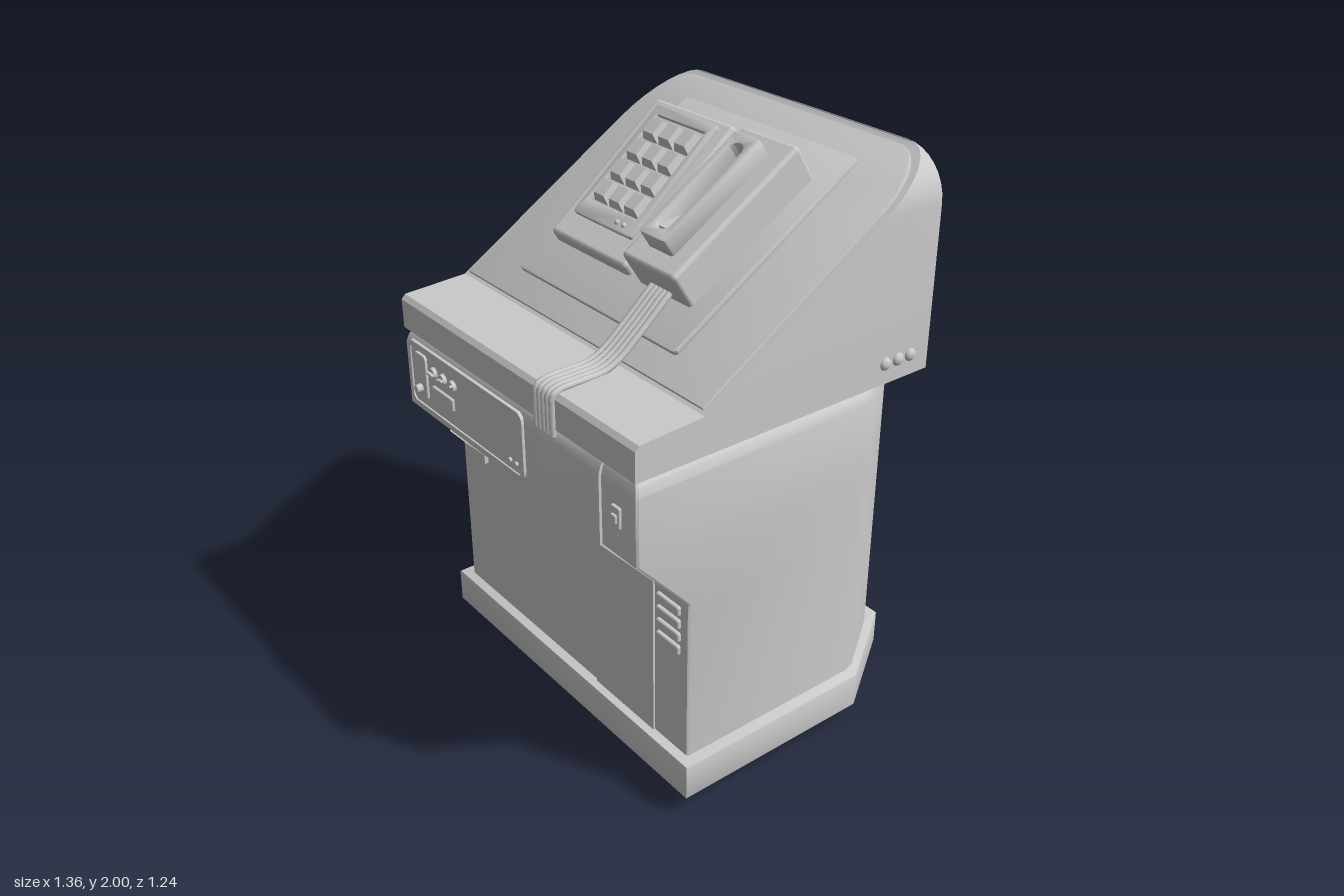
import * as THREE from 'three';
import { toCreasedNormals } from 'three/addons/utils/BufferGeometryUtils.js';
import { RoundedBoxGeometry } from 'three/addons/geometries/RoundedBoxGeometry.js';

const grey = new THREE.MeshStandardMaterial({ color: 0xcccccc });
const thin = new THREE.MeshStandardMaterial({ color: 0xcccccc, side: THREE.DoubleSide });

function add(parent, name, geo, x = 0, y = 0, z = 0, mat = grey) {
  const m = new THREE.Mesh(geo, mat);
  m.name = name;
  m.position.set(x, y, z);
  parent.add(m);
  return m;
}
const rbox = (w, h, d, r = 0.01) => new RoundedBoxGeometry(w, h, d, 2, r);

// Box whose +z face is scaled by s
function frustum(w, h, d, s) {
  const g = new THREE.BoxGeometry(w, h, d), p = g.attributes.position;
  for (let i = 0; i < p.count; i++)
    if (p.getZ(i) > 0) p.setXY(i, p.getX(i) * s, p.getY(i) * s);
  g.computeVertexNormals();
  return g;
}

// Skin over rings of equal length, plus extra quads
function loft(rings, closed = true, extra = [], crease = 0.6) {
  const pos = [];
  const quad = (a, b, c, d) => [a, b, c, a, c, d].forEach(p => pos.push(...p));
  for (let k = 0; k + 1 < rings.length; k++) {
    const a = rings[k], b = rings[k + 1], n = a.length;
    for (let i = 0; i < (closed ? n : n - 1); i++) {
      const j = (i + 1) % n;
      quad(a[i], a[j], b[j], b[i]);
    }
  }
  extra.forEach(q => quad(...q));
  const g = new THREE.BufferGeometry();
  g.setAttribute('position', new THREE.Float32BufferAttribute(pos, 3));
  g.computeVertexNormals();
  return toCreasedNormals(g, crease);
}

// Rounded rectangle centred on the origin
function roundRect(w, h, r, T = THREE.Shape) {
  const s = new T(), x = w / 2 - r, y = h / 2 - r;
  s.absarc(x, y, r, 0, Math.PI / 2).absarc(-x, y, r, Math.PI / 2, Math.PI);
  s.absarc(-x, -y, r, Math.PI, Math.PI * 1.5).absarc(x, -y, r, Math.PI * 1.5, Math.PI * 2);
  return s;
}
const plate = (shape, depth, bevel = 0.005) => toCreasedNormals(new THREE.ExtrudeGeometry(shape, {
  depth: depth - bevel, bevelEnabled: bevel > 0, bevelThickness: bevel, bevelSize: bevel,
  bevelOffset: -bevel, bevelSegments: 2, curveSegments: 8 }), 0.6);

function buildBase(root) {
  // Plinth with cut back corners and a shallow notch at the back
  const half = [[0.68, -0.43], [0.68, 0.31], [0.47, 0.62], [0.21, 0.62], [0.21, 0.608]];
  const pts = [...half, ...half.map(([x, y]) => [-x, y]).reverse()];
  const s = new THREE.Shape(pts.map(p => new THREE.Vector2(...p)));
  add(root, 'plinth', plate(s, 0.125, 0.006).rotateX(-Math.PI / 2), 0, 0.07, 0);
  // Tapered feet, the back pair turned along the cut corners
  for (const sx of [-1, 1]) for (const back of [false, true]) {
    const g = frustum(0.15, back ? 0.17 : 0.14, 0.08, 0.85).rotateX(Math.PI / 2);
    const f = add(root, back ? 'backFoot' : 'frontFoot', g, sx * (back ? 0.47 : 0.535), 0.04, back ? -0.4 : 0.29);
    if (back) f.rotation.y = sx * 0.6;
  }
}

function buildBody(root) {
  // Cabinet: y, front z, shoulder inset, depth of the back door recess
  const levels = [[0.19, 0.395, 0, 0.02], [0.75, 0.395, 0, 0.02], [0.75, 0.395, 0, 0], [0.78, 0.395, 0, 0],
    [0.99, 0.585, 0, 0], [1.22, 0.585, 0, 0], [1.25, 0.577, 0.01, 0], [1.27, 0.56, 0.032, 0], [1.28, 0.53, 0.06, 0]];
  const rings = levels.map(([y, zf, s, d]) => {
    const half = [[0.635 - s, zf], [0.64 - s, zf - 0.008], [0.64 - s, -0.3], [0.625 - s, -0.345],
      [0.48 - s * 0.6, -0.55 + s], [0.43, -0.58 + s], [0.22, -0.58 + s], [0.22, -0.58 + s + d]];
    return [...half, ...half.map(([x, z]) => [-x, z]).reverse()].map(([x, z]) => [x, y, z]);
  });
  const top = rings.at(-1), n = top.length, lid = [];
  for (let i = 0; i < n / 2 - 1; i++) lid.push([top[i], top[i + 1], top[n - 2 - i], top[n - 1 - i]]);
  add(root, 'cabinet', loft(rings, true, lid));
  add(root, 'neck', new THREE.BoxGeometry(1.06, 0.08, 0.13), 0, 1.26, -0.455);

  // Raised column that follows the front
  const prof = [[0.38, 0.19], [0.402, 0.19], [0.402, 0.778], [0.594, 0.99], [0.594, 1.225], [0.585, 1.255],
    [0.565, 1.274], [0.5, 1.274], [0.5, 1.0], [0.38, 0.82]].map(p => new THREE.Vector2(...p));
  add(root, 'frontColumn', plate(new THREE.Shape(prof), 0.31, 0).rotateY(-Math.PI / 2), 0.475, 0, 0);

  // Control panel
  const panel = new THREE.Group();
  panel.name = 'controlPanel';
  panel.position.z = 0.585;
  root.add(panel);
  const frame = roundRect(0.69, 0.236, 0.03);
  frame.holes.push(roundRect(0.664, 0.21, 0.022, THREE.Path));
  add(panel, 'panelFrame', plate(frame, 0.01, 0.003), -0.265, 1.128, 0);
  add(panel, 'panelFace', plate(roundRect(0.67, 0.216, 0.022), 0.004, 0), -0.265, 1.128, 0);
  add(panel, 'sliderPlate', plate(roundRect(0.07, 0.165, 0.015), 0.014), -0.53, 1.132, 0);
  const knob = (name, x, y, r, d) =>
    add(panel, name, new THREE.CylinderGeometry(r * 0.85, r, d, 20).rotateX(Math.PI / 2), x, y, d / 2);
  knob('sliderKnob', -0.53, 1.09, 0.016, 0.035);
  [-0.45, -0.39, -0.33].forEach((x, i) => {
    knob('dial', x, 1.173, 0.022, 0.016);
    add(panel, 'dialGrip', rbox(0.036, 0.009, 0.014, 0.003), x, 1.173, 0.02).rotation.z = [0, 0.2, 0.6][i];
  });
  add(panel, 'displayWindow', rbox(0.13, 0.045, 0.02, 0.005), -0.395, 1.102, 0.004);
  [0, 0.035].forEach(x => knob('indicator', x, 1.054, 0.009, 0.012));
  add(panel, 'switchPlate', rbox(0.04, 0.07, 0.016, 0.004), 0.55, 1.123, 0.002);
  add(panel, 'rockerSwitch', rbox(0.024, 0.03, 0.02, 0.004), 0.55, 1.12, 0.008);

  // Louvres and the small latch below the overhang
  for (let i = 0; i < 4; i++) add(root, 'louvre', rbox(0.11, 0.034, 0.03, 0.007), 0.548, 0.59 + i * 0.0485, 0.393);
  const latch = [[0.39, 0.75], [0.41, 0.75], [0.41, 0.785], [0.475, 0.855], [0.45, 0.855], [0.39, 0.79]];
  add(root, 'latch', plate(new THREE.Shape(latch.map(p => new THREE.Vector2(...p))), 0.118, 0)
    .rotateY(-Math.PI / 2), -0.474, 0, 0);
}

function buildHead(root) {
  const head = new THREE.Group();
  head.name = 'consoleHead';
  head.position.x = 0.025;
  root.add(head);
  const low = 1.285;
  // Arch outline from the lower +x corner over the top to the other side
  const arch = (w, top, r) => {
    const half = [[w, low], [w, 1.385], [w, 1.4], [w, 1.412]];
    for (let i = 0; i <= 8; i++) {
      const a = i * Math.PI / 16;
      half.push([w - r + r * Math.cos(a), top - r + r * Math.sin(a)]);
    }
    return [...half, ...half.map(([x, y]) => [-x, y]).reverse()];
  };
  const frontZ = y => y < 1.39 ? 0.602 : y < 1.405 ? 0.588 : Math.max(0.363 - (y - 1.41) / 0.632, -0.533);
  const outer = arch(0.633, 1.982, 0.155), inner = arch(0.413, 1.785, 0.1);
  const front = outer.map(([x, y]) => [x, y, frontZ(y)]), n = front.length, face = [];
  for (let i = 0; i < n / 2 - 1; i++) face.push([front[n - 1 - i], front[i], front[i + 1], front[n - 2 - i]]);
  add(head, 'headShell', loft([inner.map(p => [...p, -0.616]), outer.map(p => [...p, -0.535]), front], true, face, 0.45));

  // Back wall with a shallow access recess
  const u = [[-0.3, low], [-0.3, 1.41], [0.3, 1.41], [0.3, low]];
  const wall = new THREE.Shape([...inner, ...u].map(p => new THREE.Vector2(...p)));
  add(head, 'backWall', new THREE.ShapeGeometry(wall).rotateY(Math.PI), 0, 0, -0.616);
  add(head, 'recessWalls', loft([u.map(p => [...p, -0.616]), u.map(p => [...p, -0.585])], false), 0, 0, 0, thin);
  add(head, 'recessFloor', new THREE.BoxGeometry(0.6, 0.125, 0.01), 0, 1.3475, -0.581);

  // Round buttons on the side
  for (const z of [-0.348, -0.402, -0.455])
    add(head, 'sideButton', new THREE.SphereGeometry(0.021, 16, 12).scale(0.7, 1, 1), 0.633, 1.355, z);
}

function buildDeck(root) {
  // Sloping deck: local y runs up the slope, local z points outward
  const deck = new THREE.Group();
  deck.name = 'slopingDeck';
  deck.position.set(0, 1.41, 0.385);
  deck.rotation.x = -1.007;
  root.add(deck);

  const s = new THREE.Shape();
  s.moveTo(-0.615, 0.035).lineTo(0.615, 0.035).lineTo(0.615, 0.79);
  s.absellipse(0.475, 0.79, 0.14, 0.265, 0, Math.PI / 2);
  s.absellipse(-0.475, 0.79, 0.14, 0.265, Math.PI / 2, Math.PI);
  add(deck, 'deckPanel', plate(s, 0.015, 0.004), 0.025, 0, -0.015);
  add(deck, 'mountPlate', plate(roundRect(0.815, 0.82, 0.015), 0.016, 0.004), 0.018, 0.54, 0);

  // Keypad housing, a wedge that rises up the slope
  const wedge = rbox(0.395, 0.56, 0.12, 0.015), p = wedge.attributes.position;
  for (let i = 0; i < p.count; i++) if (p.getZ(i) > 0) p.setZ(i, p.getZ(i) + p.getY(i) * 0.125);
  add(deck, 'keypadHousing', wedge, -0.147, 0.555, 0.035);
  const pad = new THREE.Group();
  pad.name = 'keypad';
  pad.position.set(-0.145, 0.275, 0.06);
  pad.rotation.x = 0.125;
  deck.add(pad);
  const rim = roundRect(0.3, 0.45, 0.01);
  const win = new THREE.Path([[-0.122, 0.146], [0.122, 0.146], [0.122, 0.5], [-0.122, 0.5]]
    .map(([x, y]) => new THREE.Vector2(x, y - 0.312)));
  rim.holes.push(win);
  add(pad, 'keypadBezel', plate(rim, 0.016, 0.003), 0, 0.312, 0);
  for (let r = 0; r < 4; r++) for (let c = -1; c <= 1; c++)
    add(pad, 'key', frustum(0.074, 0.08, 0.034, 0.68), c * 0.08, 0.195 + r * 0.085, 0.015);
  for (const x of [0.06, 0.095])
    add(pad, 'indicator', new THREE.SphereGeometry(0.009, 12, 8), x, 0.115, 0.016);

  // Handset cradle with a slotted raised block
  add(deck, 'cradle', rbox(0.25, 0.56, 0.17, 0.015), 0.222, 0.555, 0.06);
  const block = roundRect(0.118, 0.43, 0.012);
  const slot = roundRect(0.058, 0.356, 0.028, THREE.Path);
  block.holes.push(slot);
  add(deck, 'handsetBlock', plate(block, 0.068, 0.005), 0.223, 0.553, 0.142);
  add(deck, 'slotRamp', new THREE.BoxGeometry(0.06, 0.1, 0.03), 0.223, 0.425, 0.163).rotation.x = -0.45;
}

function buildCable(root) {
  // Ribbon of five cords running over the front lip
  const path = [[1.615, 0.15], [1.585, 0.19], [1.502, 0.285], [1.435, 0.37], [1.414, 0.42], [1.41, 0.5],
    [1.406, 0.575], [1.392, 0.603], [1.36, 0.606], [1.265, 0.606]];
  for (let i = -2; i <= 2; i++) {
    const x = 0.229 + i * 0.0205;
    const curve = new THREE.CatmullRomCurve3(path.map(([y, z]) => new THREE.Vector3(x, y, z)), false, 'centripetal');
    add(root, 'ribbonCord', new THREE.TubeGeometry(curve, 48, 0.0105, 8));
    add(root, 'cordEnd', new THREE.SphereGeometry(0.0105, 8, 6), x, 1.265, 0.606);
  }
}

export function createModel() {
  const root = new THREE.Group();
  root.name = 'terminalKiosk';
  buildBase(root);
  buildBody(root);
  buildHead(root);
  buildDeck(root);
  buildCable(root);
  return root;
}
